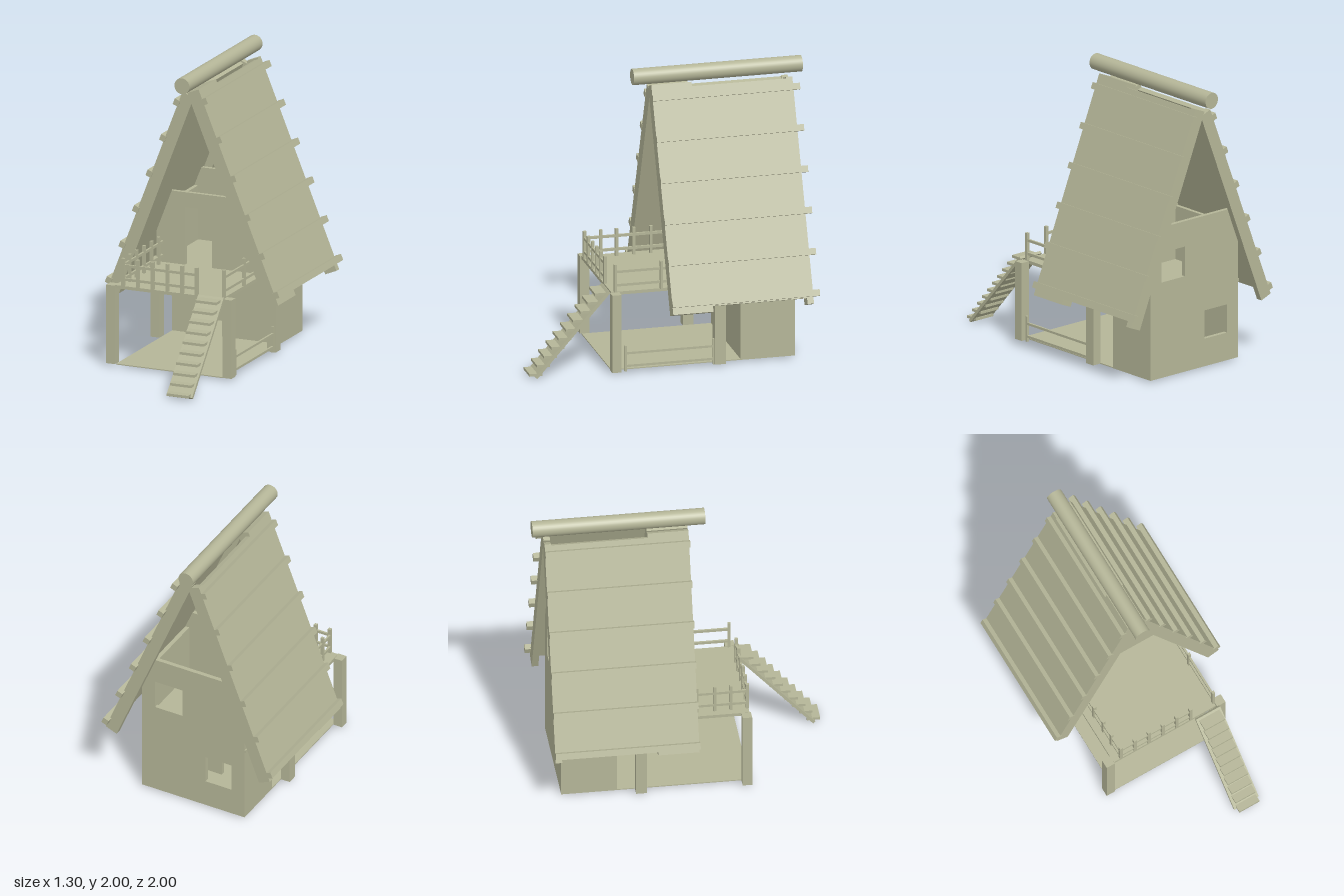
import * as THREE from 'three';

const material = new THREE.MeshStandardMaterial({ color: 0xb4b597, side: THREE.DoubleSide });

function add(parent, name, geometry) {
  const mesh = new THREE.Mesh(geometry, material);
  mesh.name = name;
  parent.add(mesh);
  return mesh;
}

// Box given by its two extreme corners
function block(parent, name, x0, x1, y0, y1, z0, z1) {
  const mesh = add(parent, name, new THREE.BoxGeometry(x1 - x0, y1 - y0, z1 - z0));
  mesh.position.set((x0 + x1) / 2, (y0 + y1) / 2, (z0 + z1) / 2);
  return mesh;
}

// Upright wall panel from an outline, with rectangular openings [x0, x1, y0, y1]
function wall(parent, name, outline, openings, z, depth = 0.03) {
  const shape = new THREE.Shape(outline.map(([x, y]) => new THREE.Vector2(x, y)));
  for (const [x0, x1, y0, y1] of openings) {
    shape.holes.push(new THREE.Path([
      new THREE.Vector2(x0, y0), new THREE.Vector2(x0, y1),
      new THREE.Vector2(x1, y1), new THREE.Vector2(x1, y0),
    ]));
  }
  const mesh = add(parent, name, new THREE.ExtrudeGeometry(shape, { depth, bevelEnabled: false }));
  mesh.position.z = z;
}

// One roof slope; local -y runs down the slope and local +x points outward
function roofSide(parent, name, side, x, y, angle, length, battenBack) {
  const slope = new THREE.Group();
  slope.name = name;
  slope.position.set(x, y, 0);
  slope.rotation.z = side * angle;
  const slab = (part, thick0, thick1, d0, d1, z0, z1) => {
    const a = side * thick0, b = side * thick1;
    block(slope, part, Math.min(a, b), Math.max(a, b), -d1, -d0, z0, z1);
  };
  slab('frontOverhang', -0.09, 0, 0, length, -0.22, 0.06);
  slab('roofPanel', -0.035, 0, 0.03, length - 0.04, -0.88, -0.22);
  slab('backRafter', -0.09, 0, 0.02, length, -0.92, -0.875);
  for (let i = 0; i < 6; i++) {
    const d = 0.09 + i * 0.28;
    slab('roofBatten', -0.01, 0.032, d - 0.022, d + 0.022, battenBack, 0.065);
  }
  parent.add(slope);
}

export function createModel() {
  const house = new THREE.Group();
  house.name = 'stiltCabin';
  const L = -0.41, R = 0.38, BACK = -0.85;

  // Ground floor and raised deck
  block(house, 'groundFloor', L, R, 0.015, 0.022, BACK, 0.43);
  block(house, 'deck', -0.42, R, 0.55, 0.572, BACK, 0.43);

  // Supporting posts
  for (const [x0, x1] of [[-0.48, -0.415], [0.385, 0.45]]) {
    block(house, 'frontPost', x0, x1, 0.02, 0.57, 0.375, 0.44);
    block(house, 'middlePost', x0, x1, 0.02, 0.57, -0.35, -0.275);
  }

  // Walls of the lower room and the loft
  const gable = [[R, 0.95], [0.325, 1.08], [-0.355, 1.08], [L, 0.95]];
  wall(house, 'backWall', [[L, 0.02], [R, 0.02], ...gable],
    [[-0.31, -0.11, 0.21, 0.41], [0.07, 0.28, 0.69, 0.9]], BACK);
  wall(house, 'loftFrontWall', [[L, 0.57], [-0.2, 0.57], [-0.2, 0.975], [0, 0.975], [0, 0.57],
    [R, 0.57], ...gable], [], -0.25);
  wall(house, 'lowerFrontWall', [[L, 0.02], [-0.24, 0.02], [-0.24, 0.42], [-0.04, 0.42],
    [-0.04, 0.02], [R, 0.02], [R, 0.55], [L, 0.55]], [], -0.5);
  for (const x of [L, R - 0.03]) {
    block(house, 'lowerSideWall', x, x + 0.03, 0.02, 0.55, BACK + 0.03, -0.47);
    block(house, 'loftSideWall', x, x + 0.03, 0.57, 0.95, BACK + 0.03, -0.25);
  }

  // Roof with ridge log
  const roof = new THREE.Group();
  roof.name = 'roof';
  house.add(roof);
  roofSide(roof, 'leftRoofSlope', 1, 0.03, 1.9, 0.389, 1.56, -0.96);
  roofSide(roof, 'rightRoofSlope', -1, -0.09, 1.87, 0.368, 1.54, -0.92);
  const ridge = add(roof, 'ridgeLog', new THREE.CylinderGeometry(0.056, 0.056, 1.175, 32));
  ridge.rotation.x = Math.PI / 2;
  ridge.position.set(-0.04, 1.944, -0.4125);

  // Deck railings
  const railing = new THREE.Group();
  railing.name = 'deckRailing';
  house.add(railing);
  for (let i = 0; i < 6; i++) {
    const x = -0.36 + i * 0.109;
    block(railing, 'frontBaluster', x - 0.011, x + 0.011, 0.57, 0.765, 0.412, 0.434);
  }
  for (const y of [0.61, 0.705]) {
    block(railing, 'frontRail', -0.37, 0.195, y, y + 0.018, 0.416, 0.43);
    block(railing, 'rightRail', -0.372, -0.358, y, y + 0.018, -0.22, 0.43);
    block(railing, 'leftRail', 0.37, 0.384, y, y + 0.018, -0.22, 0.41);
  }
  for (const z of [0.31, 0.2, 0.08, -0.04, -0.15]) {
    block(railing, 'rightBaluster', -0.375, -0.355, 0.57, 0.765, z - 0.01, z + 0.01);
  }
  for (const z of [0.4, 0.08]) {
    block(railing, 'leftBaluster', 0.367, 0.387, 0.57, 0.765, z - 0.01, z + 0.01);
  }

  // Low fence beside the ground floor
  const fence = new THREE.Group();
  fence.name = 'lowFence';
  house.add(fence);
  for (const z of [0.335, -0.28]) block(fence, 'fencePost', 0.42, 0.438, 0.02, 0.2, z, z + 0.016);
  for (const y of [0.05, 0.14]) block(fence, 'fenceRail', 0.422, 0.436, y, y + 0.016, -0.28, 0.345);

  // Stairs: sloping board carrying the treads
  const stairs = new THREE.Group();
  stairs.name = 'stairs';
  house.add(stairs);
  const board = add(stairs, 'stairBoard', new THREE.BoxGeometry(0.19, 0.02, 0.765));
  board.position.set(0.305, 0.296, 0.702);
  board.rotation.x = Math.atan2(0.57, 0.51);
  for (let i = 0; i < 10; i++) {
    const y = 0.565 - i * 0.0595, z = 0.5 + i * 0.0505;
    block(stairs, 'tread', 0.228, 0.385, y - 0.009, y + 0.009, z - 0.045, z + 0.045);
  }
  return house;
}
